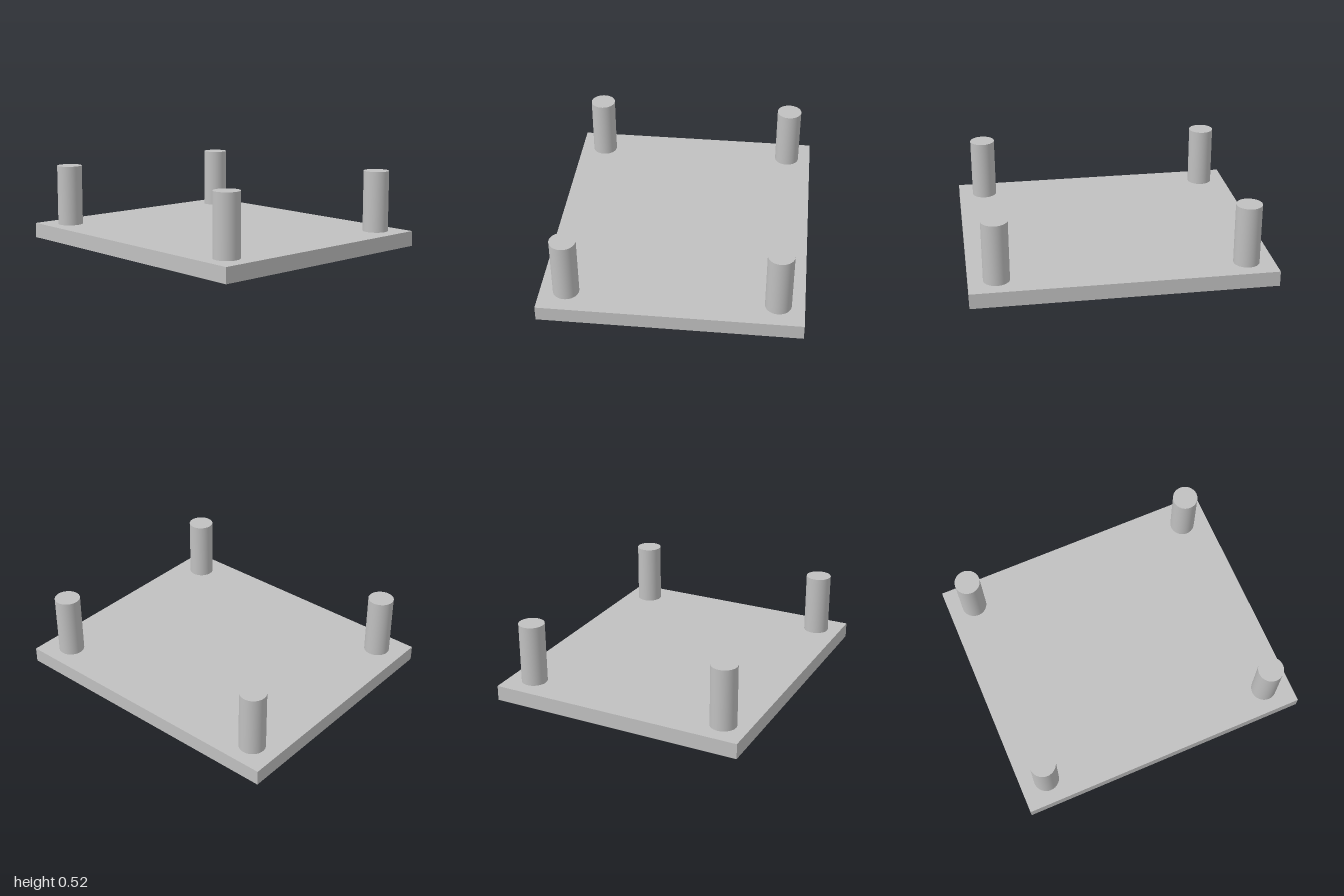
import * as THREE from 'three';

export function createModel() {
  const model = new THREE.Group();
  model.name = 'standoffPlate';

  const lightGrey = new THREE.MeshStandardMaterial({ color: 0xc0c0c0 });
  lightGrey.name = 'light grey';

  const plateHeight = 0.103;
  const postHeight = 0.414;

  // Flat base plate
  const plate = new THREE.Mesh(new THREE.BoxGeometry(1.724, plateHeight, 2), lightGrey);
  plate.name = 'basePlate';
  plate.position.y = plateHeight / 2;
  model.add(plate);

  // Four round posts, one near each corner
  const postGeometry = new THREE.CylinderGeometry(0.086, 0.086, postHeight, 64);
  for (const [sx, xName] of [[1, 'Left'], [-1, 'Right']]) {
    for (const [sz, zName] of [[1, 'front'], [-1, 'back']]) {
      const post = new THREE.Mesh(postGeometry, lightGrey);
      post.name = `${zName}${xName}Post`;
      post.position.set(sx * 0.69, plateHeight + postHeight / 2, sz * 0.817);
      model.add(post);
    }
  }

  return model;
}
